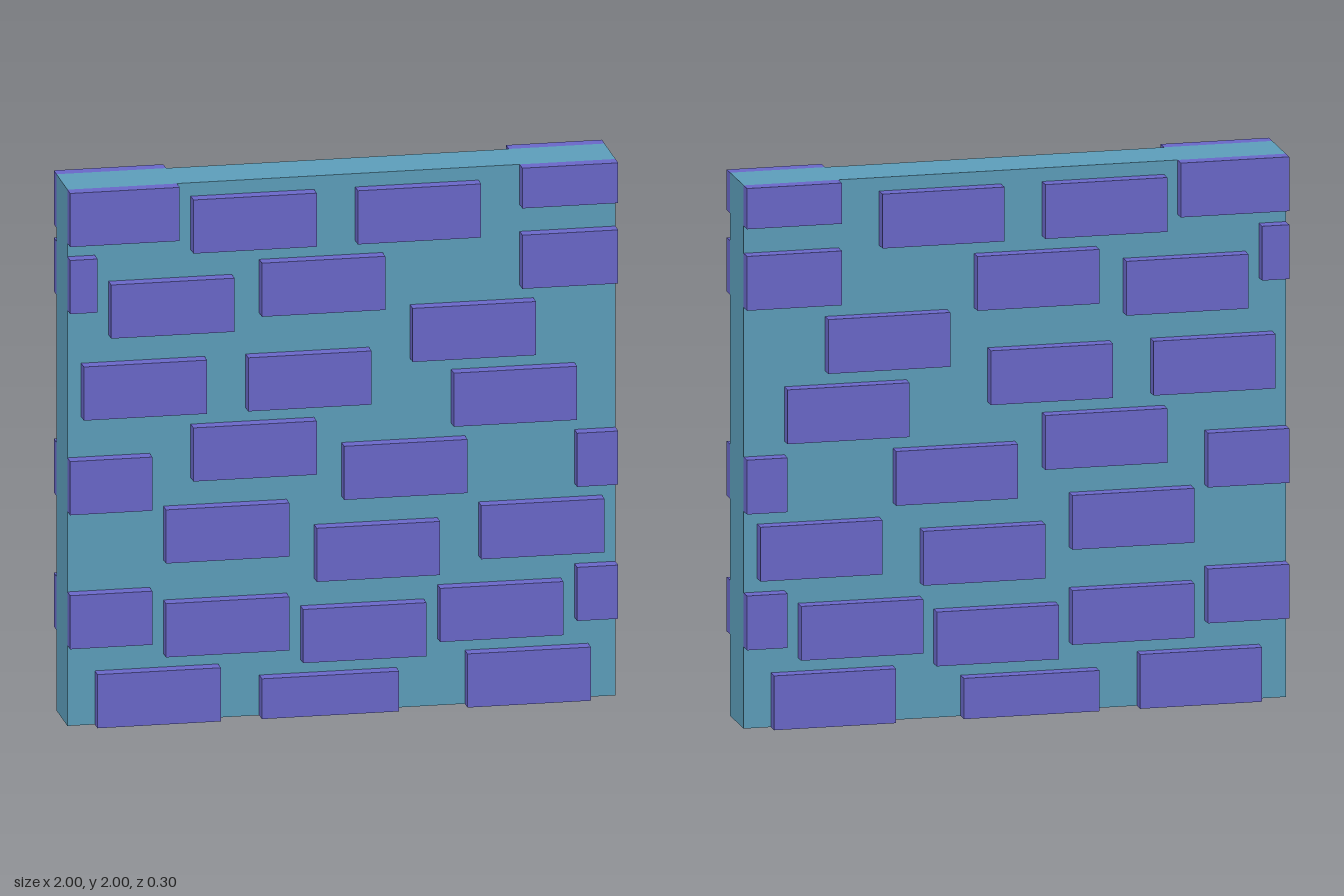
import * as THREE from 'three';

const wallMaterial = new THREE.MeshStandardMaterial({ color: 0x5d9fbc });
wallMaterial.name = 'teal mortar';
const brickMaterial = new THREE.MeshStandardMaterial({ color: 0x6a68ca });
brickMaterial.name = 'purple brick';

const WALL_HALF = 0.1; // half thickness of the wall
const RELIEF = 0.05; // how far the bricks stand out

// Each course of bricks: [left x, bottom y, width, height]
const bricks = [
  [-1, 1.8, 0.4, 0.2], [-0.55, 1.75, 0.45, 0.2], [0.05, 1.75, 0.45, 0.2], [0.65, 1.85, 0.35, 0.15],
  [-1, 1.55, 0.1, 0.2], [-0.85, 1.45, 0.45, 0.2], [-0.3, 1.5, 0.45, 0.2], [0.65, 1.55, 0.35, 0.2],
  [-0.95, 1.15, 0.45, 0.2], [-0.35, 1.15, 0.45, 0.2], [0.25, 1.3, 0.45, 0.2], [0.4, 1.05, 0.45, 0.2],
  [-1, 0.8, 0.3, 0.2], [-0.55, 0.9, 0.45, 0.2], [0, 0.8, 0.45, 0.2], [0.85, 0.8, 0.15, 0.2],
  [-0.65, 0.6, 0.45, 0.2], [-0.1, 0.5, 0.45, 0.2], [0.5, 0.55, 0.45, 0.2],
  [-1, 0.3, 0.3, 0.2], [-0.65, 0.25, 0.45, 0.2], [-0.15, 0.2, 0.45, 0.2],
  [0.35, 0.25, 0.45, 0.2], [0.85, 0.3, 0.15, 0.2],
  [-0.9, 0, 0.45, 0.2], [-0.3, 0, 0.5, 0.15], [0.45, 0, 0.45, 0.2],
];

function box(name, material, w, h, d, x, y, z) {
  const mesh = new THREE.Mesh(new THREE.BoxGeometry(w, h, d), material);
  mesh.name = name;
  mesh.position.set(x, y, z);
  return mesh;
}

export function createModel() {
  const model = new THREE.Group();
  model.name = 'brickWall';
  model.add(box('wall', wallMaterial, 2, 2, WALL_HALF * 2, 0, 1, 0));

  // The same brick pattern stands out from the front and the back
  for (const [side, sign] of [['front', 1], ['back', -1]]) {
    const group = new THREE.Group();
    group.name = `${side}Bricks`;
    for (const [x, y, w, h] of bricks) {
      group.add(box(`${side}Brick`, brickMaterial, w, h, RELIEF,
        x + w / 2, y + h / 2, sign * (WALL_HALF + RELIEF / 2)));
    }
    model.add(group);
  }
  return model;
}
